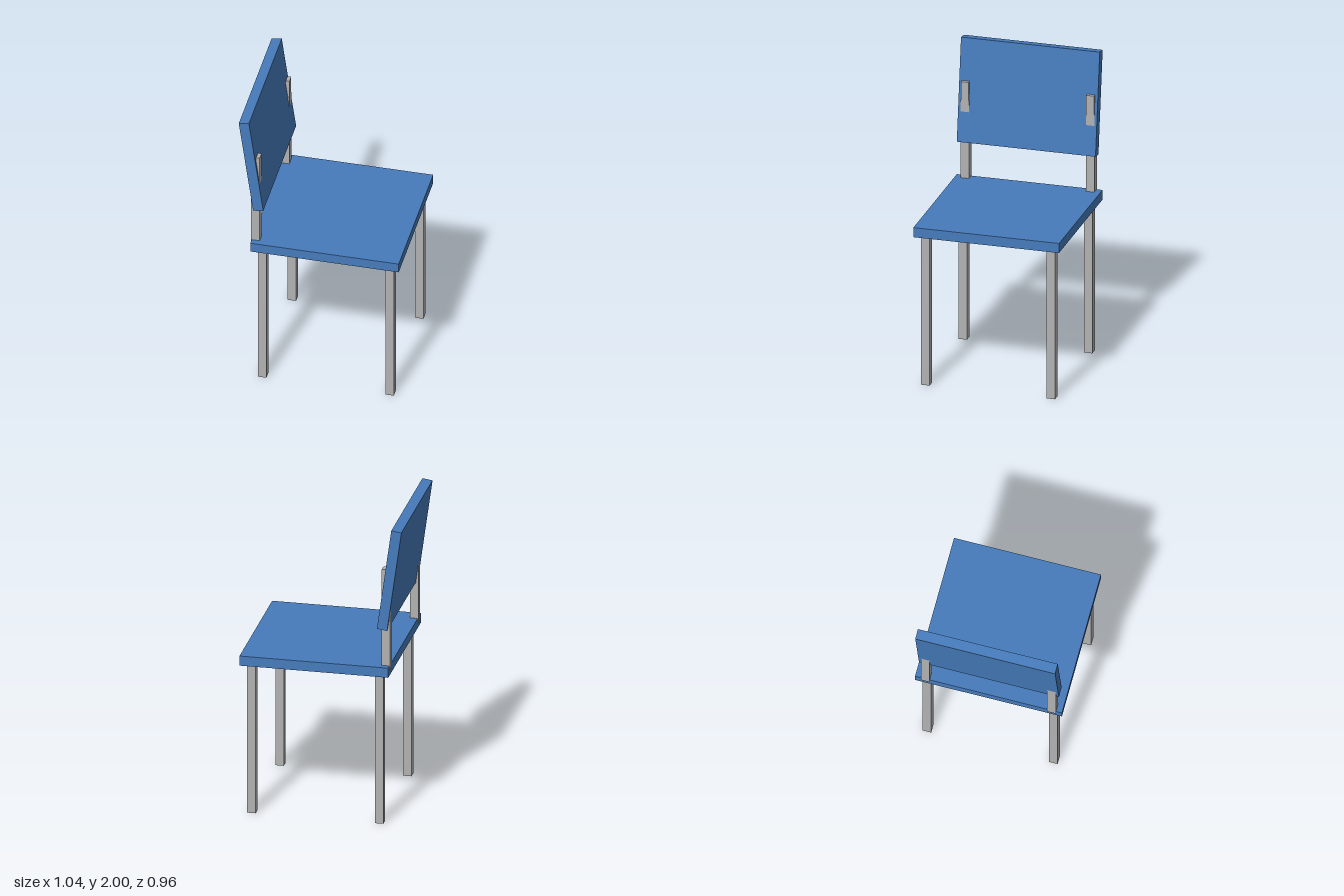
import * as THREE from 'three';

export function createModel() {
  const model = new THREE.Group();
  model.name = 'chair';
  const blue = new THREE.MeshStandardMaterial({ name: 'blue panel', color: 0x467bbb });
  const grey = new THREE.MeshStandardMaterial({ name: 'grey frame', color: 0xb2b2b2 });

  // Box given by its minimum and maximum on each axis
  function box(name, material, [x0, x1], [y0, y1], [z0, z1]) {
    const mesh = new THREE.Mesh(new THREE.BoxGeometry(x1 - x0, y1 - y0, z1 - z0), material);
    mesh.name = name;
    mesh.position.set((x0 + x1) / 2, (y0 + y1) / 2, (z0 + z1) / 2);
    model.add(mesh);
    return mesh;
  }

  // Flat seat, facing +x
  box('seat', blue, [-0.44, 0.52], [1.01, 1.075], [-0.479, 0.479]);

  // Backrest panel, leaning back towards -x
  const backrest = box('backrest', blue, [-0.475, -0.409], [1.32, 2.0], [-0.456, 0.456]);
  backrest.position.set(-0.441, 1.659, 0);
  backrest.rotation.z = 0.137;

  for (const side of [-1, 1]) {
    const across = (half) => [side * 0.412 - half, side * 0.412 + half];

    // Legs
    box('backLeg', grey, [-0.4, -0.345], [0, 1.02], across(0.028));
    box('frontLeg', grey, [0.424, 0.479], [0, 1.02], across(0.028));

    // Back posts with a slimmer tip that pokes through the panel
    box('backPost', grey, [-0.444, -0.389], [1.045, 1.6], across(0.028));
    box('postTip', grey, [-0.413, -0.389], [1.59, 1.725], across(0.025));
  }
  return model;
}
